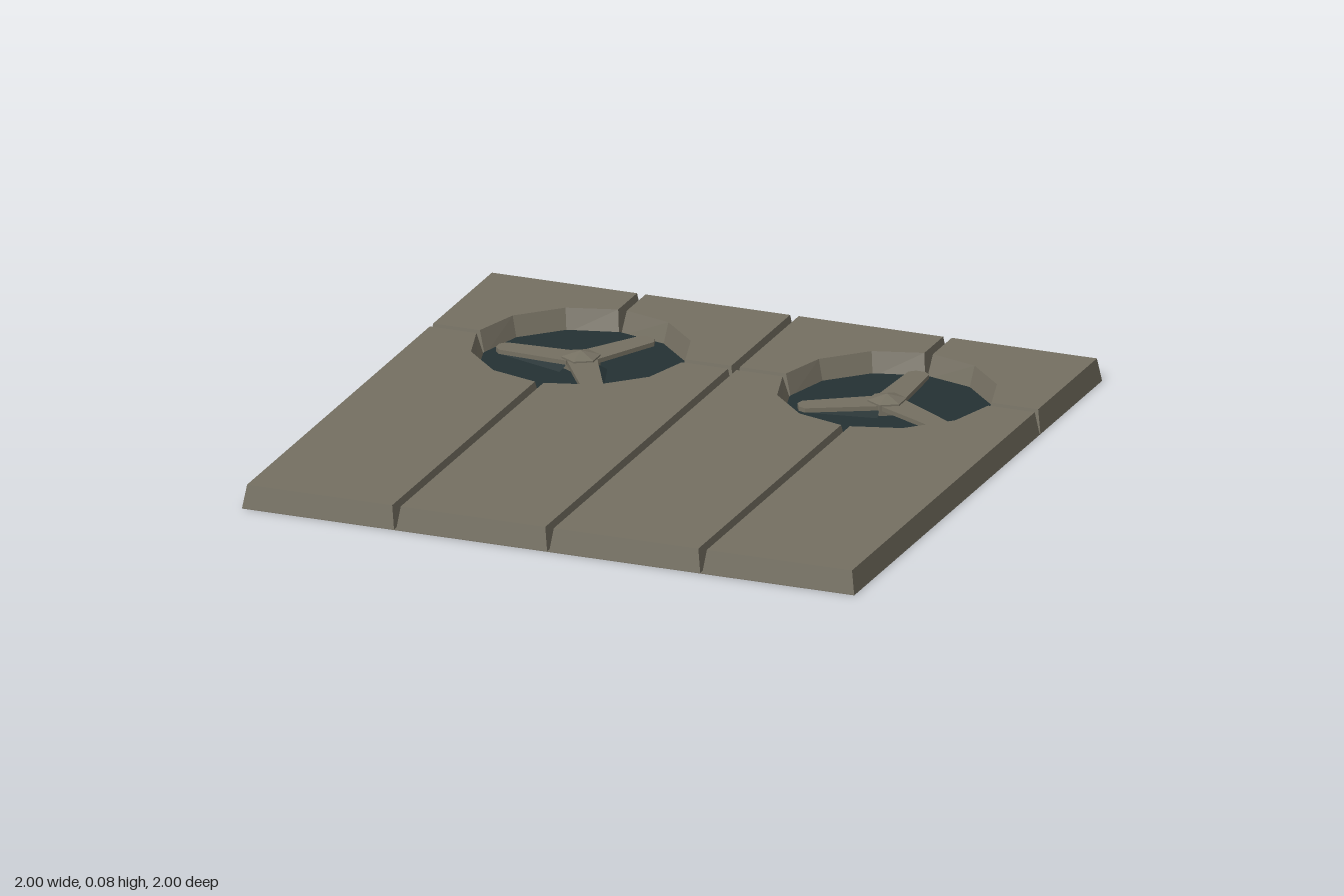
import * as THREE from 'three';

const HEIGHT = 0.075;
const FAN_X = 0.5, FAN_Z = -0.5;

const stone = new THREE.MeshStandardMaterial({ color: 0x757062, flatShading: true });
stone.name = 'warm grey panel';
const dark = new THREE.MeshStandardMaterial({ color: 0x243133, flatShading: true, side: THREE.DoubleSide });
dark.name = 'dark teal';

// Outline of one panel around its fan corner, in distances (u, v) from the fan centre
function panelLoop(w, d, groove, radius, uInset, edge) {
  const r = Math.sqrt(radius * radius - groove * groove);
  const c = radius * Math.cos(Math.PI / 6), s = radius / 2;
  return [
    [r, groove], [c, s], [s, c], [groove, r],
    [groove, d - edge], [w - uInset, d - edge], [w - uInset, groove],
  ];
}

// Slab with sloping sides, its corner cut by the round fan well
function panelGeometry(cx, sx, sz, depth) {
  const outer = cx * sx > 0;
  const place = ([u, v]) => new THREE.Vector2(cx + sx * u, FAN_Z + sz * v);
  const low = panelLoop(0.5, depth, 0.003, 0.315, outer ? 0 : 0.003, 0).map(place);
  const high = panelLoop(0.5, depth, 0.014, 0.336, outer ? 0.012 : 0.014, 0.012).map(place);
  if (sx * sz < 0) { low.reverse(); high.reverse(); }
  const pos = [];
  const put = (p, y) => pos.push(p.x, y, p.y);
  for (let i = 0; i < low.length; i++) {
    const j = (i + 1) % low.length;
    put(low[i], 0); put(low[j], 0); put(high[j], HEIGHT);
    put(low[i], 0); put(high[j], HEIGHT); put(high[i], HEIGHT);
  }
  for (const [a, b, c] of THREE.ShapeUtils.triangulateShape(high, [])) {
    const t = [high[a], high[b], high[c]];
    if (THREE.ShapeUtils.area(t) > 0) t.reverse();
    t.forEach((p) => put(p, HEIGHT));
  }
  const g = new THREE.BufferGeometry();
  g.setAttribute('position', new THREE.Float32BufferAttribute(pos, 3));
  g.computeVertexNormals();
  return g;
}

function add(parent, name, geometry, material, x = 0, y = 0, z = 0) {
  const mesh = new THREE.Mesh(geometry, material);
  mesh.name = name;
  mesh.position.set(x, y, z);
  parent.add(mesh);
  return mesh;
}

// Flat blade with a clipped tip, lying along +x
function bladeGeometry() {
  const shape = new THREE.Shape([
    [0.03, -0.046], [0.255, -0.034], [0.272, -0.015],
    [0.272, 0.015], [0.255, 0.034], [0.03, 0.046],
  ].map(([x, y]) => new THREE.Vector2(x, y)));
  const g = new THREE.ExtrudeGeometry(shape, { depth: 0.014, bevelEnabled: false });
  return g.rotateX(-Math.PI / 2);
}

// Dark sloping web from the blade edge down to the hub
function webGeometry() {
  const g = new THREE.BufferGeometry();
  g.setAttribute('position', new THREE.Float32BufferAttribute(
    [0.25, 0.026, -0.034, 0.03, 0.026, -0.045, 0.04, 0.012, -0.075], 3));
  g.computeVertexNormals();
  return g;
}

function createFan(startAngle) {
  const fan = new THREE.Group();
  fan.name = 'fan';
  add(fan, 'wellFloor', new THREE.CylinderGeometry(0.318, 0.318, 0.008, 12), dark, 0, 0.006, 0);
  add(fan, 'hub', new THREE.CylinderGeometry(0.06, 0.06, 0.035, 6), stone, 0, 0.0275, 0);
  add(fan, 'hubCap', new THREE.ConeGeometry(0.06, 0.017, 6), stone, 0, 0.0535, 0);
  for (let i = 0; i < 3; i++) {
    const angle = -(startAngle + i * Math.PI * 2 / 3);
    add(fan, 'blade', bladeGeometry(), stone, 0, 0.026, 0).rotation.y = angle;
    add(fan, 'bladeWeb', webGeometry(), dark).rotation.y = angle;
  }
  return fan;
}

export function createModel() {
  const model = new THREE.Group();
  model.name = 'ventedFloorTile';

  // Thin underside closing the grooves
  add(model, 'base', new THREE.BoxGeometry(2, 0.002, 2), stone, 0, 0.001, 0);

  for (const side of [-1, 1]) {
    const cx = side * FAN_X;
    // Four panels meet around each fan
    for (const sx of [-1, 1]) {
      add(model, 'backPanel', panelGeometry(cx, sx, -1, 0.5), stone);
      add(model, 'frontPanel', panelGeometry(cx, sx, 1, 1.5), stone);
    }
    const fan = createFan(side < 0 ? Math.PI : -Math.PI / 2);
    fan.position.set(cx, 0, FAN_Z);
    model.add(fan);
  }
  return model;
}
